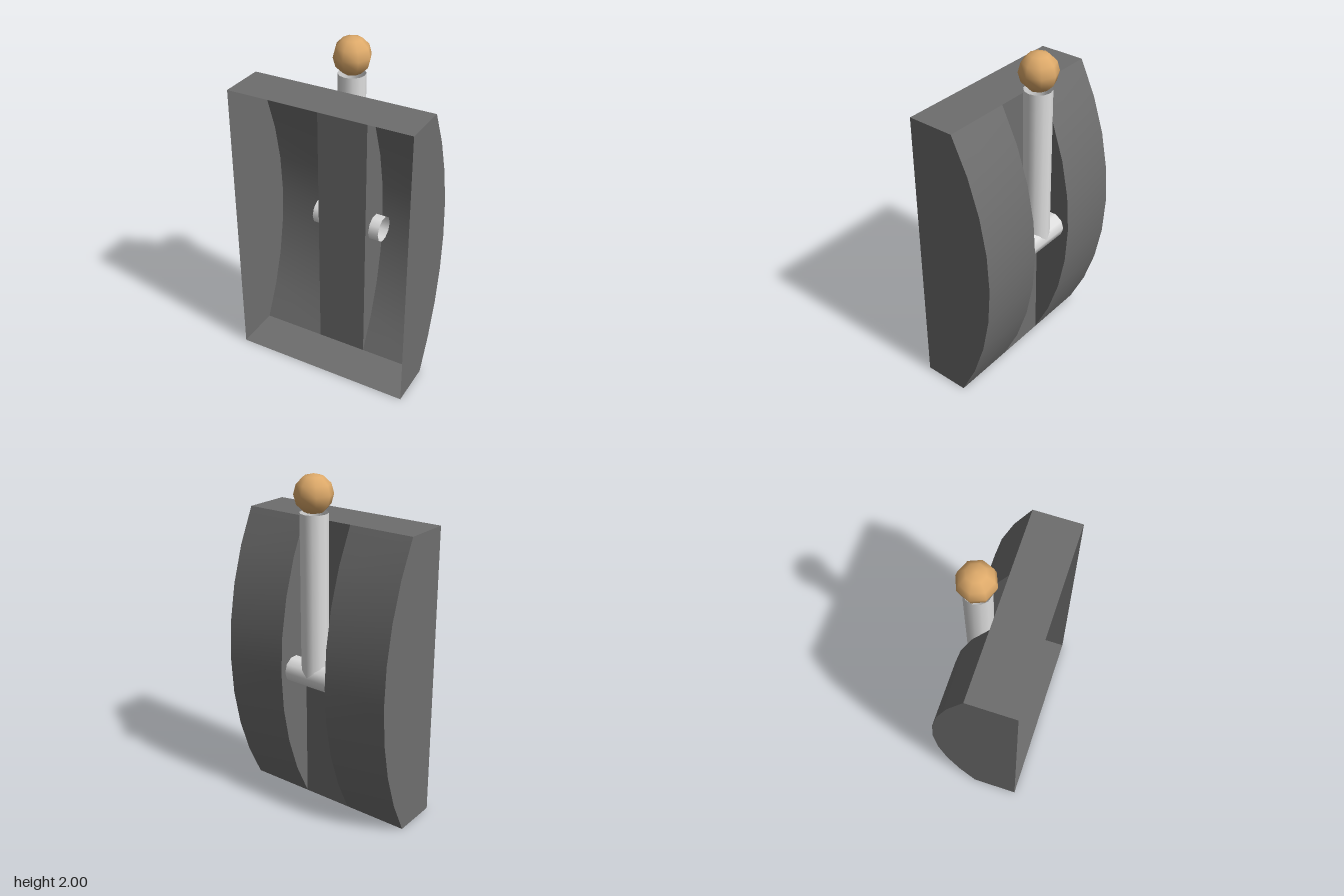
import * as THREE from 'three';

const HALF_W = 0.54, GROOVE = 0.153, HEIGHT = 1.73;
const FRONT_Z = 0.2475, BASE_Z = -0.0245, BULGE = 0.223;
const STEPS = 8;

// Points [y, z] along the bulging back, bottom to top
const half = HEIGHT / 2;
const radius = (half * half + BULGE * BULGE) / (2 * BULGE);
const sweep = Math.asin(half / radius);
const arc = Array.from({ length: STEPS + 1 }, (_, i) => {
  const a = sweep * (2 * i / STEPS - 1);
  return [half + radius * Math.sin(a), BASE_Z - BULGE + radius * (1 - Math.cos(a))];
});

function makeMaterial(name, color) {
  const m = new THREE.MeshStandardMaterial({ color, side: THREE.DoubleSide });
  m.name = name;
  return m;
}

export function createModel() {
  const group = new THREE.Group();
  const grey = makeMaterial('dark grey housing', 0x6e6e6e);
  const white = makeMaterial('light grey metal', 0xdedede);
  const wood = makeMaterial('tan knob', 0xdeaa6a);

  function add(name, geometry, material, x = 0, y = 0, z = 0) {
    const mesh = new THREE.Mesh(geometry, material);
    mesh.name = name;
    mesh.position.set(x, y, z);
    group.add(mesh);
    return mesh;
  }

  // Upright wall across x: the arc, closed by a straight front edge
  function wallGeometry(frontZ) {
    const pts = arc.map(([y, z]) => new THREE.Vector2(-z, y));
    if (frontZ > BASE_Z) {
      pts.push(new THREE.Vector2(-frontZ, HEIGHT), new THREE.Vector2(-frontZ, 0));
    }
    return new THREE.ShapeGeometry(new THREE.Shape(pts)).rotateY(Math.PI / 2);
  }

  // Curved back panel, bent along the arc
  function backGeometry(width) {
    const g = new THREE.PlaneGeometry(width, HEIGHT, 1, STEPS).rotateY(Math.PI);
    const p = g.attributes.position;
    for (let i = 0; i < p.count; i++) {
      const [y, z] = arc[STEPS - Math.floor(i / 2)];
      p.setXYZ(i, p.getX(i), y, z);
    }
    g.computeVertexNormals();
    return g;
  }

  // Hollow housing, open at the front
  for (const [side, s] of [['left', 1], ['right', -1]]) {
    add(side + 'OuterWall', wallGeometry(FRONT_Z), grey, s * HALF_W);
    add(side + 'GrooveWall', wallGeometry(BASE_Z), grey, s * GROOVE);
    add(side + 'CurvedBack', backGeometry(HALF_W - GROOVE), grey, s * (HALF_W + GROOVE) / 2);
  }
  const depth = FRONT_Z - BASE_Z, midZ = (FRONT_Z + BASE_Z) / 2;
  add('topPanel', new THREE.PlaneGeometry(2 * HALF_W, depth).rotateX(-Math.PI / 2), grey, 0, HEIGHT, midZ);
  add('bottomPanel', new THREE.PlaneGeometry(2 * HALF_W, depth).rotateX(Math.PI / 2), grey, 0, 0, midZ);
  add('grooveFloor', new THREE.PlaneGeometry(2 * GROOVE, HEIGHT).rotateY(Math.PI), grey, 0, half, BASE_Z);

  // Pivot tube through the groove walls, and the lever standing on it
  const pivot = new THREE.CylinderGeometry(0.0775, 0.0775, 0.43, 10, 1, true).rotateZ(Math.PI / 2);
  add('pivotTube', pivot, white, 0, half, -0.137);
  add('leverTube', new THREE.CylinderGeometry(0.0775, 0.0775, 0.93, 12, 1, true), white, 0, 1.33, -0.135);

  // Round grip
  add('knob', new THREE.SphereGeometry(0.107, 8, 6), wood, 0, 1.893, -0.137);

  return group;
}
